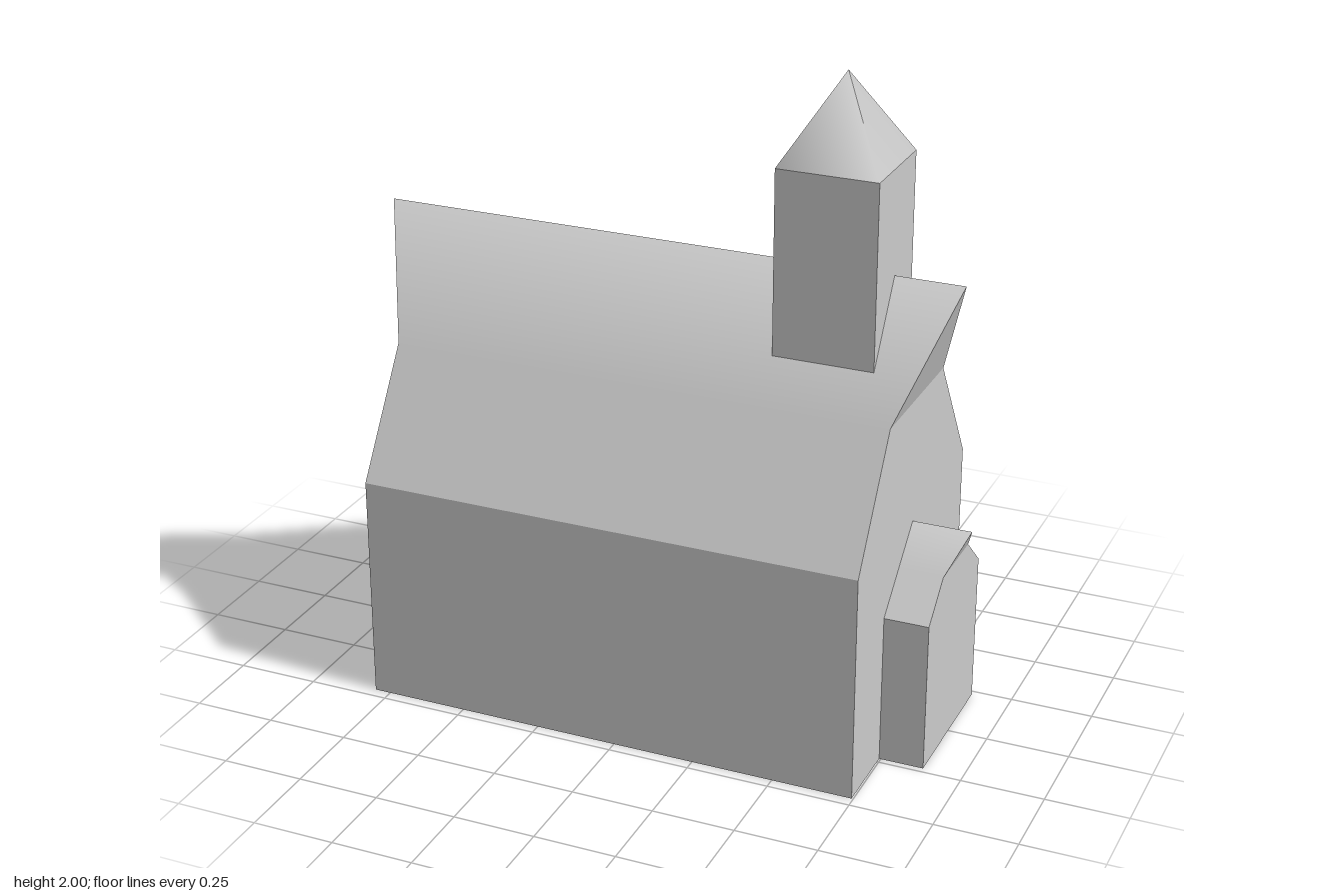
import * as THREE from 'three';

const material = new THREE.MeshStandardMaterial({ color: 0xcccccc });

function meshFrom(name, vertices, index, flat) {
  let geometry = new THREE.BufferGeometry();
  geometry.setAttribute('position', new THREE.Float32BufferAttribute(vertices.flat(), 3));
  geometry.setIndex(index);
  if (flat) geometry = geometry.toNonIndexed();
  geometry.computeVertexNormals();
  const mesh = new THREE.Mesh(geometry, material);
  mesh.name = name;
  return mesh;
}

// Gabled block along x; the upper gable leans outward to the ridge ends
function gabledBlock(name, { left, right, ridgeLeft, ridgeRight, half, eave, ridge }) {
  const mid = (eave + ridge) / 2;
  const profile = [
    [half, 0], [half, eave], [half / 2, mid], [0, ridge],
    [-half / 2, mid], [-half, eave], [-half, 0],
  ];
  // Vertex 2i is the left end of profile point i, 2i + 1 its right end
  const vertices = [];
  profile.forEach(([z, y], i) => {
    vertices.push([i === 3 ? ridgeLeft : left, y, z], [i === 3 ? ridgeRight : right, y, z]);
  });
  const strip = (i, j) => [2 * i, 2 * i + 1, 2 * j + 1, 2 * i, 2 * j + 1, 2 * j];

  // Side walls, floor and both gable ends
  const walls = [...strip(0, 1), ...strip(5, 6), ...strip(6, 0)];
  for (const [a, b, c] of [[0, 6, 5], [0, 5, 1], [1, 5, 4], [1, 4, 2], [2, 4, 3]]) {
    walls.push(2 * a + 1, 2 * b + 1, 2 * c + 1, 2 * a, 2 * c, 2 * b);
  }
  // Roof slopes, smooth over the ridge
  const roof = [1, 2, 3, 4].flatMap((i) => strip(i, i + 1));

  const group = new THREE.Group();
  group.name = name;
  group.add(meshFrom(name + 'Walls', vertices, walls, true));
  group.add(meshFrom(name + 'Roof', vertices, roof, false));
  return group;
}

export function createModel() {
  const model = new THREE.Group();
  model.name = 'chapel';

  model.add(gabledBlock('nave', {
    left: -0.8, right: 0.745, ridgeLeft: -0.927, ridgeRight: 0.875,
    half: 0.465, eave: 0.7, ridge: 1.42,
  }));

  model.add(gabledBlock('porch', {
    left: 0.745, right: 0.88, ridgeLeft: 0.745, ridgeRight: 0.925,
    half: 0.231, eave: 0.465, ridge: 0.67,
  }));

  // Bell tower astride the ridge
  const width = 0.305, bottom = 1.18, top = 1.742, x = 0.512;
  const tower = new THREE.Mesh(new THREE.BoxGeometry(width, top - bottom, width), material);
  tower.name = 'tower';
  tower.position.set(x, (bottom + top) / 2, 0);
  model.add(tower);

  // Four-sided spire, smooth shaded
  const height = 2 - top;
  const spireGeometry = new THREE.ConeGeometry(width / Math.SQRT2, height, 4, 1, true);
  spireGeometry.rotateY(Math.PI / 4);
  const spire = new THREE.Mesh(spireGeometry, material);
  spire.name = 'spire';
  spire.position.set(x, top + height / 2, 0);
  model.add(spire);

  return model;
}
